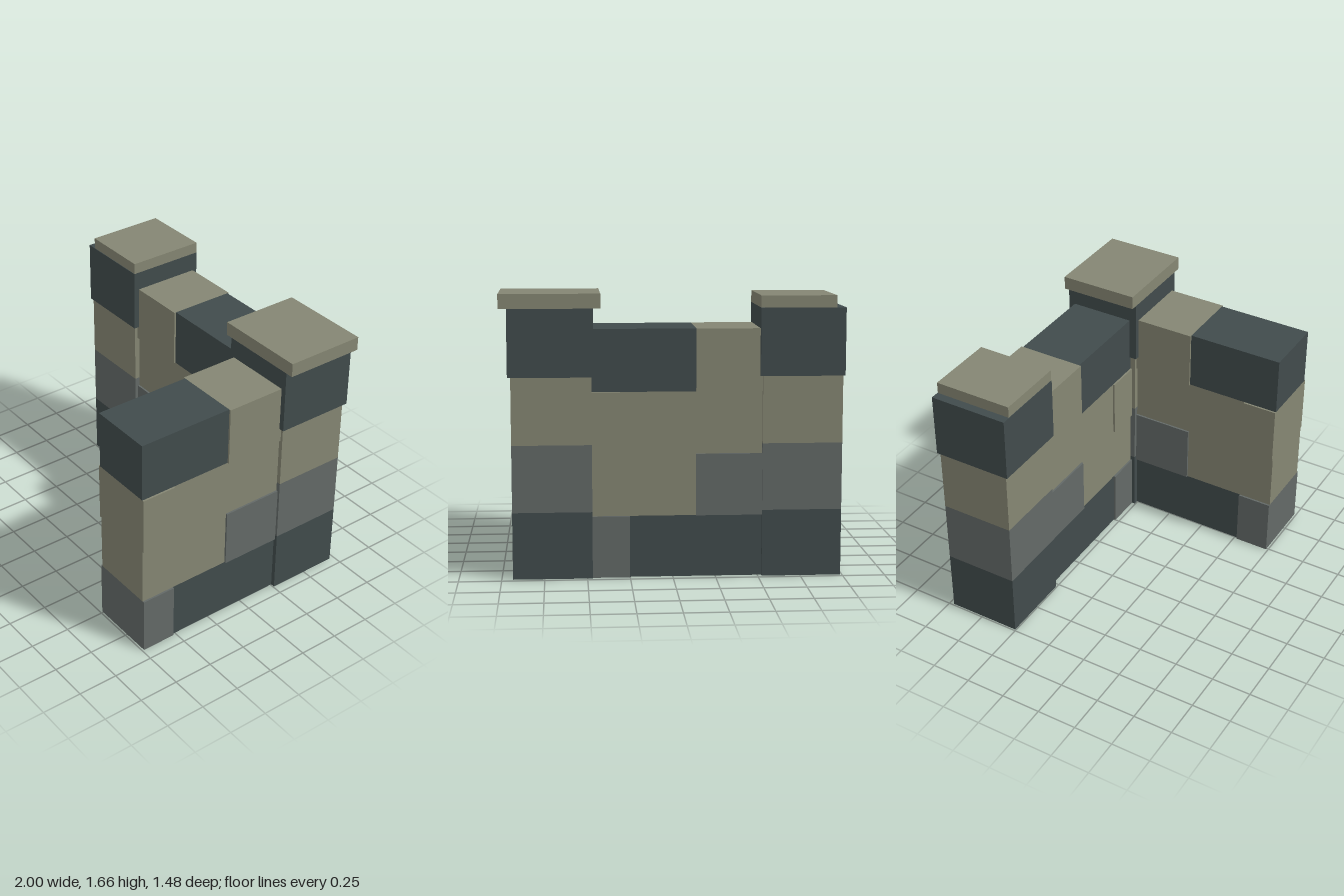
import * as THREE from 'three';

const material = (name, color) => {
  const m = new THREE.MeshStandardMaterial({ color });
  m.name = name;
  return m;
};

export function createModel() {
  const sand = material('sandStone', 0x858673);
  const slate = material('slateStone', 0x414b4c);
  const grey = material('greyStone', 0x636967);

  // Box given by its lower and upper bounds
  const block = (parent, name, mat, [x0, x1], [y0, y1], [z0, z1]) => {
    const mesh = new THREE.Mesh(new THREE.BoxGeometry(x1 - x0, y1 - y0, z1 - z0), mat);
    mesh.position.set((x0 + x1) / 2, (y0 + y1) / 2, (z0 + z1) / 2);
    mesh.name = name;
    parent.add(mesh);
  };

  const model = new THREE.Group();
  model.name = 'cornerWall';

  // Pillars: three equal courses, a wider head and a flat capstone
  const pillar = (name, x, head, cap, capTop, capZ) => {
    const g = new THREE.Group();
    g.name = name;
    [slate, grey, sand].forEach((mat, i) =>
      block(g, 'pillarCourse', mat, x, [i * 0.395, (i + 1) * 0.395], [-0.72, -0.256]));
    block(g, 'pillarHead', slate, head, [1.185, 1.58], [-0.737, -0.242]);
    block(g, 'capstone', sand, cap, [1.58, capTop], capZ);
    model.add(g);
  };
  pillar('rightPillar', [-0.99, -0.523], [-1, -0.507], [-0.945, -0.507], 1.65, [-0.735, -0.245]);
  pillar('cornerPillar', [0.47, 0.935], [0.46, 0.953], [0.417, 1], 1.665, [-0.74, -0.242]);

  // Wall stones: name, colour, span along the wall, height span, half thickness
  const h = 0.365, thin = 0.203, thick = 0.215;
  const stones = [
    ['footing', slate, [0, 0.78], [0, h], thin],
    ['footingEnd', grey, [0.78, 1], [0, h], thick],
    ['lowerStone', grey, [0, 0.39], [h, 2 * h], thick],
    ['lowerFill', sand, [0.39, 1], [h, 2 * h], thin],
    ['upperFill', sand, [0, 0.78], [2 * h, 3 * h], thin],
    ['upperStone', sand, [0.78, 1], [2 * h, 3 * h], thick],
    ['topStone', sand, [0, 0.39], [3 * h, 4 * h], thick],
    ['topCourse', slate, [0.39, 1], [3 * h, 4 * h], thin],
  ];
  const wall = (name, start, end, centre, alongX) => {
    const g = new THREE.Group();
    g.name = name;
    for (const [part, mat, span, y, half] of stones) {
      const along = span.map(t => start + t * (end - start));
      const across = [centre - half, centre + half];
      block(g, part, mat, alongX ? along : across, y, alongX ? across : along);
    }
    model.add(g);
  };
  wall('backWall', -0.523, 0.47, -0.492, true);
  wall('sideWall', -0.256, 0.737, 0.705, false);

  return model;
}
